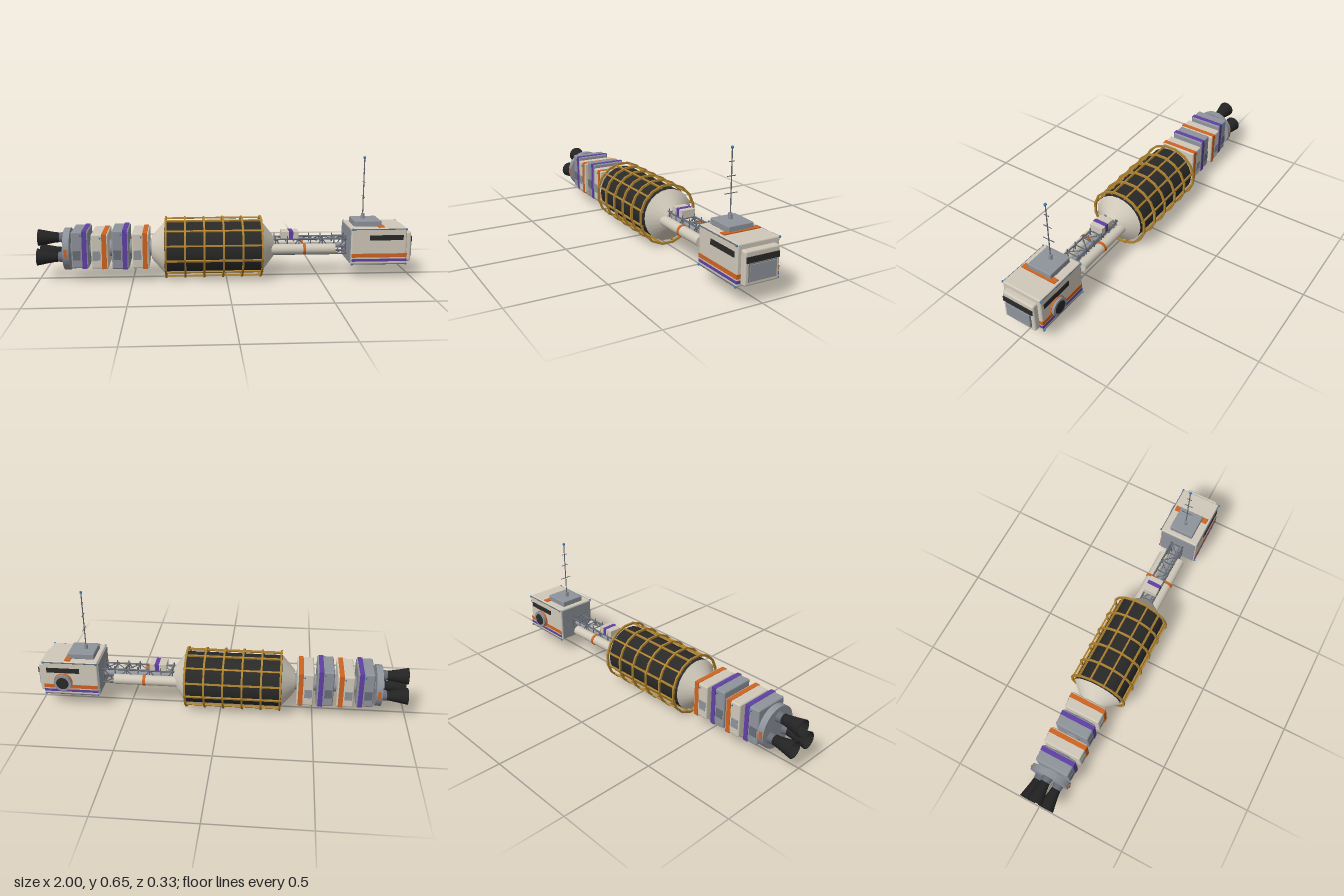
import * as THREE from 'three';
import { RoundedBoxGeometry } from 'three/addons/geometries/RoundedBoxGeometry.js';

const YC = 0.164; // height of the ship's long axis

export function createModel() {
  const root = new THREE.Group();
  root.name = 'spaceship';
  const paint = (name, color) => Object.assign(new THREE.MeshStandardMaterial({ color }), { name });
  const hull = paint('hull cream', 0xd0c9ba), grey = paint('panel grey', 0x8f939b);
  const steel = paint('truss steel', 0x686d77), dark = paint('dark panel', 0x292928);
  const gold = paint('gold frame', 0xae8230), orange = paint('orange', 0xcf6420);
  const purple = paint('purple', 0x6040a4), blue = paint('blue lamp', 0x3a7fb8);
  const black = paint('engine black', 0x232323);

  const add = (name, geo, mat, x = 0, y = 0, z = 0, parent = root) => {
    const m = new THREE.Mesh(geo, mat);
    m.name = name;
    m.position.set(x, y, z);
    parent.add(m);
    return m;
  };
  // box from its limits; a bevel rounds the edges
  const box = (name, mat, x0, x1, y0, y1, z0, z1, bevel = 0) => {
    const s = [x1 - x0, y1 - y0, z1 - z0];
    const geo = bevel ? new RoundedBoxGeometry(...s, 2, bevel) : new THREE.BoxGeometry(...s);
    return add(name, geo, mat, (x0 + x1) / 2, (y0 + y1) / 2, (z0 + z1) / 2);
  };
  // cylinder or cone along x
  const tubeX = (name, mat, x0, x1, r0, r1, y = YC, z = 0, sides = 24, open = false) =>
    add(name, new THREE.CylinderGeometry(r1, r0, x1 - x0, sides, 1, open).rotateZ(-Math.PI / 2), mat, (x0 + x1) / 2, y, z);
  // thin round bar between two points
  const bar = (name, mat, a, b, r) => {
    const p = new THREE.Vector3(...a), q = new THREE.Vector3(...b), d = q.clone().sub(p);
    const m = add(name, new THREE.CylinderGeometry(r, r, d.length(), 6), mat);
    m.position.copy(p).add(q).multiplyScalar(0.5);
    m.quaternion.setFromUnitVectors(new THREE.Vector3(0, 1, 0), d.normalize());
  };

  // engines: three hollow bells around the axis
  const bell = new THREE.LatheGeometry([
    [0.012, 0.13], [0.024, 0.13], [0.028, 0.09], [0.036, 0.045], [0.045, 0], [0.041, 0], [0.031, 0.045], [0.012, 0.1], [0, 0.1],
  ].map(p => new THREE.Vector2(...p)).reverse(), 20).rotateZ(-Math.PI / 2);
  const bellMat = black;
  bellMat.side = THREE.DoubleSide;
  for (let i = 0; i < 3; i++) {
    const a = i * Math.PI * 2 / 3;
    add('engineBell', bell, bellMat, -1, YC + 0.062 * Math.cos(a), 0.062 * Math.sin(a));
    tubeX('engineMount', steel, -0.89, -0.855, 0.026, 0.03, YC + 0.062 * Math.cos(a), 0.062 * Math.sin(a), 16);
  }
  tubeX('thrustPlate', grey, -0.862, -0.828, 0.112, 0.112, YC, 0, 28);
  for (const s of [-1, 1]) box('thrustPlateMark', orange, -0.852, -0.838, YC - 0.02, YC + 0.02, s * 0.111 - 0.003, s * 0.111 + 0.003);

  // spine through the cargo modules
  tubeX('spine', grey, -0.84, -0.38, 0.045, 0.045);

  // cargo modules with a raised stripe, side panels and lamps
  [
    [-0.817, 0.078, 0.275, 0.095, grey, purple, steel],
    [-0.713, 0.078, 0.262, 0.106, hull, orange, grey],
    [-0.606, 0.071, 0.278, 0.095, grey, purple, steel],
    [-0.5, 0.075, 0.264, 0.102, hull, orange, grey],
  ].forEach(([x, y0, y1, w, body, stripe, panel]) => {
    box('cargoModule', body, x, x + 0.09, y0, y1, -w, w, 0.008);
    box('moduleStripe', stripe, x + 0.056, x + 0.081, y0 - 0.002, y1 + 0.002, -w - 0.002, w + 0.002);
    for (const s of [-1, 1]) {
      box('modulePanel', panel, x + 0.008, x + 0.048, 0.123, 0.173, s * w - 0.003, s * w + 0.003);
      add('moduleLamp', new THREE.SphereGeometry(0.005, 8, 6), blue, x + 0.048, y1 - 0.02, s * w);
    }
  });

  // main tank
  tubeX('tankRearCone', hull, -0.4, -0.33, 0.06, 0.139);
  tubeX('tankBody', dark, -0.33, 0.19, 0.139, 0.139);
  tubeX('tankFrontCone', hull, 0.19, 0.26, 0.139, 0.05);

  // gold cage: six sixteen-sided rings and twelve rails
  const polygon = (Type, r) => {
    const p = new Type();
    p.setFromPoints(Array.from({ length: 16 }, (_, i) => {
      const a = (i + 0.5) * Math.PI / 8;
      return new THREE.Vector2(r * Math.cos(a), r * Math.sin(a));
    }));
    p.closePath();
    return p;
  };
  const ringShape = polygon(THREE.Shape, 0.1665);
  ringShape.holes.push(polygon(THREE.Path, 0.1555));
  const ring = new THREE.ExtrudeGeometry(ringShape, { depth: 0.01, bevelEnabled: false }).rotateY(Math.PI / 2);
  for (let i = 0; i < 6; i++) add('cageRing', ring, gold, -0.328 + i * 0.1015, YC, 0);
  for (let i = 0; i < 12; i++) {
    const a = (i + 0.5) * Math.PI / 6;
    const rail = add('cageRail', new THREE.BoxGeometry(0.522, 0.009, 0.009), gold, -0.068, YC + 0.156 * Math.sin(a), 0.156 * Math.cos(a));
    rail.rotation.x = -a;
  }

  // truss neck
  const lo = 0.125, hi = 0.207, tw = 0.035;
  for (const z of [-tw, tw])
    for (const y of [lo, hi]) bar('trussRail', steel, [0.25, y, z], [0.665, y, z], 0.005);
  for (let i = 0; i < 7; i++) {
    const x = 0.265 + i * 0.0635, n = x + 0.0635;
    for (const z of [-tw, tw]) {
      bar('trussPost', steel, [x, lo, z], [x, hi + 0.018, z], 0.0035);
      if (i < 6) bar('trussBrace', steel, [x, i % 2 ? lo : hi, z], [n, i % 2 ? hi : lo, z], 0.003);
    }
    for (const y of [lo, hi]) {
      bar('trussCrossbar', steel, [x, y, -tw], [x, y, tw], 0.0035);
      if (i < 6) bar('trussBrace', steel, [x, y, i % 2 ? tw : -tw], [n, y, i % 2 ? -tw : tw], 0.003);
    }
  }
  tubeX('trussConduit', grey, 0.25, 0.66, 0.016, 0.016, YC, 0, 12);

  // side tanks with orange straps
  for (const z of [-0.05, 0.05]) {
    tubeX('sideTank', hull, 0.24, 0.585, 0.028, 0.028, 0.156, z, 20);
    tubeX('sideTankStrap', orange, 0.41, 0.425, 0.031, 0.031, 0.156, z, 20);
  }

  // equipment box on the truss
  box('equipmentBox', hull, 0.297, 0.39, 0.21, 0.248, -0.037, 0.037);
  box('equipmentBand', purple, 0.338, 0.36, 0.209, 0.25, -0.039, 0.039);

  // cabin
  box('cabinBody', hull, 0.66, 0.96, 0.081, 0.279, -0.113, 0.113, 0.008);
  box('cabinRearPlate', grey, 0.654, 0.662, 0.09, 0.272, -0.105, 0.105);
  box('cabinOrangeStripe', orange, 0.664, 0.962, 0.12, 0.141, -0.115, 0.115);
  box('cabinPurpleStripe', purple, 0.664, 0.962, 0.098, 0.112, -0.115, 0.115);
  box('noseBlock', hull, 0.94, 0.99, 0.09, 0.253, -0.093, 0.093, 0.01);
  box('noseWindowFrame', steel, 0.985, 0.993, 0.111, 0.194, -0.074, 0.074);
  box('noseWindow', grey, 0.99, 0.998, 0.114, 0.191, -0.071, 0.071);
  box('noseVisor', dark, 0.985, 0.995, 0.198, 0.226, -0.087, 0.087);
  for (const s of [-1, 1]) {
    box('sideWindow', dark, 0.76, 0.94, 0.214, 0.241, s * 0.114 - 0.003, s * 0.114 + 0.003);
    for (const y of [0.084, 0.273]) {
      bar('cabinEdgeRail', steel, [0.664, y, s * 0.113], [0.956, y, s * 0.113], 0.003);
      for (const x of [0.666, 0.956]) add('cornerLamp', new THREE.SphereGeometry(0.006, 10, 8), blue, x, y, s * 0.115);
    }
  }

  // round hatch on the cabin's rear side
  const disc = (name, mat, r, z0, z1) =>
    add(name, new THREE.CylinderGeometry(r, r, z0 - z1, 24).rotateX(Math.PI / 2), mat, 0.853, 0.159, (z0 + z1) / 2);
  disc('hatchCollar', orange, 0.051, -0.11, -0.121);
  disc('hatchRing', grey, 0.048, -0.12, -0.134);
  disc('hatchGlass', dark, 0.034, -0.13, -0.136);

  // roof unit, roof stripe and antenna
  box('roofStripe', orange, 0.81, 0.842, 0.276, 0.284, -0.1, 0.1);
  box('roofUnit', grey, 0.685, 0.83, 0.277, 0.31, -0.069, 0.069, 0.005);
  const ax = 0.743;
  add('antennaBase', new THREE.CylinderGeometry(0.01, 0.01, 0.03, 12), grey, ax, 0.323, 0);
  bar('antennaMast', steel, [ax, 0.33, 0], [ax, 0.642, 0], 0.003);
  [[0.431, 0.033], [0.511, 0.023], [0.578, 0.014]].forEach(([y, w]) =>
    bar('antennaCrossbar', steel, [ax, y, -w], [ax, y, w], 0.0022));
  add('antennaTip', new THREE.SphereGeometry(0.0075, 12, 8), blue, ax, 0.642, 0);

  return root;
}
